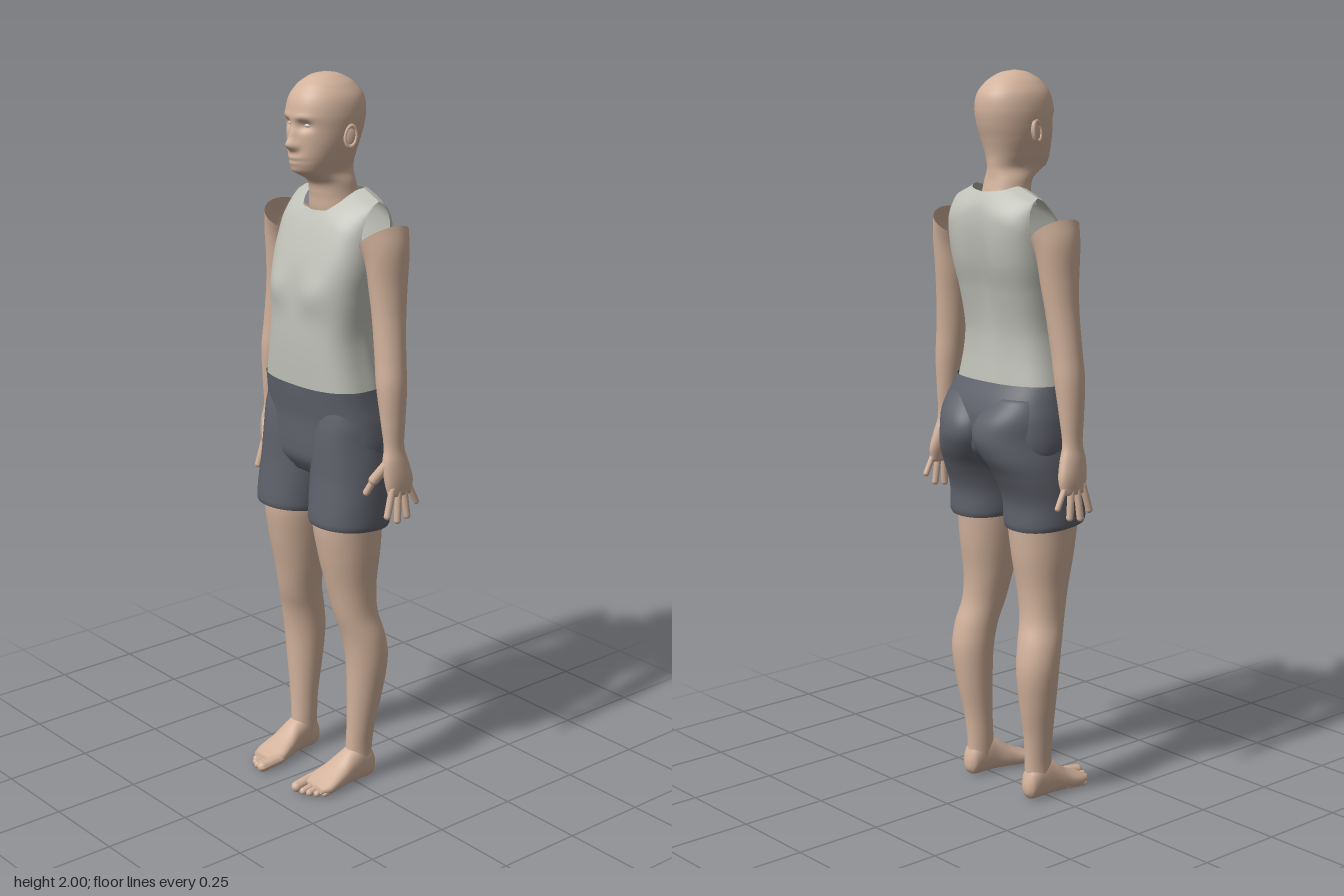
import * as THREE from 'three';

const { abs, sign, sin, cos, sqrt, min, max, PI, exp } = Math;
const skin = new THREE.MeshStandardMaterial({ name: 'skin', color: 0xd2b29c, side: THREE.DoubleSide });
const shirtGrey = new THREE.MeshStandardMaterial({ name: 'shirt grey', color: 0xc0c2b9, side: THREE.DoubleSide });
const shortsGrey = new THREE.MeshStandardMaterial({ name: 'shorts slate', color: 0x5f626b, side: THREE.DoubleSide });
const eyeWhite = new THREE.MeshStandardMaterial({ name: 'eye white', color: 0xd8d2cc });

const bump = (d, width) => exp(-(d * d) / (2 * width * width));
const lerpTable = (table, a) => {
  let i = 1;
  while (i < table.length - 1 && a > table[i][0]) i++;
  const [a0, v0] = table[i - 1], [a1, v1] = table[i];
  return v0 + (v1 - v0) * min(1, max(0, (a - a0) / (a1 - a0)));
};

// Smoothly interpolated section; rows are [height, xMin, xMax, zMin, zMax, squareness]
function section(rows, y) {
  let i = 0;
  while (i < rows.length - 2 && y > rows[i + 1][0]) i++;
  const a = rows[i], b = rows[i + 1], p = rows[max(0, i - 1)], q = rows[min(rows.length - 1, i + 2)];
  const h = b[0] - a[0], t = min(1, max(0, (y - a[0]) / h));
  return a.map((v, k) => {
    const m0 = (b[k] - p[k]) / (b[0] - p[0]) * h, m1 = (q[k] - v) / (q[0] - a[0]) * h;
    return (2 * t ** 3 - 3 * t * t + 1) * v + (t ** 3 - 2 * t * t + t) * m0
      + (3 * t * t - 2 * t ** 3) * b[k] + (t ** 3 - t * t) * m1;
  });
}

// Skin a surface over the sections, with optional vertex rule, top edge and caps
function loft(rows, { seg = 40, steps = 50, warp, top, ease = v => v, capBottom, capTop, lying } = {}) {
  const pos = [], index = [], y0 = rows[0][0], y1 = rows[rows.length - 1][0];
  for (let i = 0; i <= steps; i++) for (let j = 0; j < seg; j++) {
    const th = j / seg * 2 * PI, c = cos(th), s = sin(th);
    const y = y0 + ((top ? top(th) : y1) - y0) * ease(i / steps);
    const [, xa, xb, za, zb, n] = section(rows, y);
    const p = new THREE.Vector3(
      (xa + xb) / 2 + (xb - xa) / 2 * sign(c) * abs(c) ** (2 / n), y,
      (za + zb) / 2 + (zb - za) / 2 * sign(s) * abs(s) ** (2 / n));
    if (warp) warp(p, th);
    pos.push(...(lying ? [p.x, p.z, p.y] : [p.x, p.y, p.z]));
  }
  for (let i = 0; i < steps; i++) for (let j = 0; j < seg; j++) {
    const a = i * seg + j, b = i * seg + (j + 1) % seg;
    index.push(a, a + seg, b, b, a + seg, b + seg);
  }
  const cap = (start, up) => {
    const centre = [0, 1, 2].map(k => {
      let sum = 0;
      for (let j = 0; j < seg; j++) sum += pos[(start + j) * 3 + k];
      return sum / seg;
    });
    const c = pos.push(...centre) / 3 - 1;
    for (let j = 0; j < seg; j++) {
      const a = start + j, b = start + (j + 1) % seg;
      index.push(c, up ? b : a, up ? a : b);
    }
  };
  if (capBottom) cap(0, false);
  if (capTop) cap(steps * seg, true);
  if (lying) index.reverse();
  const g = new THREE.BufferGeometry();
  g.setAttribute('position', new THREE.Float32BufferAttribute(pos, 3));
  g.setIndex(index);
  g.computeVertexNormals();
  return g;
}

// Rounded digit between two points
function digit(a, b, r) {
  const p = new THREE.Vector3(...a), q = new THREE.Vector3(...b), d = q.clone().sub(p);
  const g = new THREE.CapsuleGeometry(r, d.length(), 5, 12);
  g.applyQuaternion(new THREE.Quaternion().setFromUnitVectors(new THREE.Vector3(0, 1, 0), d.normalize()));
  return g.translate(...p.add(q).multiplyScalar(0.5).toArray());
}

function mirrored(geometry) {
  const g = geometry.clone().scale(-1, 1, 1);
  g.setIndex(Array.from(g.index.array).reverse());
  g.computeVertexNormals();
  return g;
}

export function createModel() {
  const model = new THREE.Group();
  model.name = 'standing figure';
  const add = (name, geometry, material) => {
    const m = new THREE.Mesh(geometry, material);
    m.name = name;
    model.add(m);
  };
  const pair = (name, geometry, material) => {
    add('left ' + name, geometry, material);
    add('right ' + name, mirrored(geometry), material);
  };

  // Head and neck, with the face raised and sunk by soft bumps
  const headRows = [
    [1.6, 0.075, -0.105, 0.02], [1.64, 0.073, -0.105, 0.03], [1.68, 0.065, -0.095, 0.034],
    [1.715, 0.061, -0.087, 0.044], [1.738, 0.056, -0.085, 0.08], [1.75, 0.057, -0.085, 0.098],
    [1.78, 0.07, -0.087, 0.105], [1.82, 0.083, -0.097, 0.106], [1.86, 0.09, -0.109, 0.107],
    [1.9, 0.092, -0.115, 0.109], [1.94, 0.084, -0.108, 0.099], [1.97, 0.064, -0.083, 0.076],
    [1.985, 0.046, -0.06, 0.054], [1.995, 0.027, -0.035, 0.031], [2, 0.001, -0.003, 0],
  ].map(([y, r, zb, zf]) => [y, -r, r, zb, zf, 2.1]);
  const face = p => {
    if (p.z < 0.03) return;
    const x = abs(p.x), y = p.y;
    p.z += 0.02 * bump(x, 0.011) * bump(y - 1.82, 0.011)
      + 0.012 * bump(x, 0.009) * bump(y - 1.845, 0.018)
      + 0.006 * bump(x - 0.014, 0.006) * bump(y - 1.816, 0.007)
      - 0.013 * bump(x - 0.034, 0.014) * bump(y - 1.871, 0.01)
      + 0.004 * bump(x - 0.03, 0.02) * bump(y - 1.893, 0.007)
      + 0.011 * bump(x, 0.018) * bump(y - 1.78, 0.011)
      - 0.006 * bump(x, 0.02) * bump(y - 1.779, 0.003)
      + 0.007 * bump(x, 0.016) * bump(y - 1.75, 0.009);
  };
  add('head', loft(headRows, { seg: 96, steps: 120, warp: face, ease: v => sin(v * PI / 2) }), skin);
  pair('eye', new THREE.SphereGeometry(0.0125, 20, 14).scale(1, 0.55, 0.9).translate(0.033, 1.872, 0.0815), eyeWhite);
  const placeEar = g => g.rotateY(-0.25).rotateX(-0.15).translate(0.092, 1.842, -0.008);
  pair('ear', placeEar(new THREE.SphereGeometry(1, 18, 14).scale(0.008, 0.03, 0.018)), skin);
  pair('ear rim', placeEar(new THREE.TorusGeometry(0.018, 0.004, 8, 24).scale(0.9, 1.5, 1).rotateY(PI / 2).translate(0.006, 0, 0)), skin);

  // Sleeveless shirt: the top edge dips for arms and neck, straps close over the shoulders
  const shirtRows = [
    [1.16, 0.182, -0.105, 0.112], [1.25, 0.162, -0.097, 0.115], [1.32, 0.153, -0.099, 0.115],
    [1.42, 0.158, -0.118, 0.11], [1.5, 0.166, -0.138, 0.098], [1.58, 0.168, -0.146, 0.07],
    [1.64, 0.168, -0.14, 0.04], [1.7, 0.168, -0.118, 0], [1.74, 0.168, -0.1, -0.02],
  ].map(([y, r, zb, zf]) => [y, -r, r, zb, zf, 2.8]);
  const sideEdge = [[0, 1.52], [12, 1.545], [20, 1.59], [26, 1.665], [28, 1.75], [64, 1.75]];
  const frontEdge = [...sideEdge, [67, 1.7], [73, 1.665], [80, 1.645], [90, 1.64]];
  const backEdge = [...sideEdge, [67, 1.703], [74, 1.692], [90, 1.685]];
  const shoulderY = x => 1.735 - 0.4 * abs(x);
  add('shirt', loft(shirtRows, {
    seg: 180, steps: 60,
    top: th => {
      const angle = Math.atan2(abs(sin(th)), abs(cos(th))) * 180 / PI;
      const x = 0.168 * abs(cos(th)) ** (2 / 2.8);
      return min(shoulderY(x), lerpTable(sin(th) >= 0 ? frontEdge : backEdge, angle));
    },
    warp: (p, th) => {
      const [, , , za, zb] = section(shirtRows, p.y), mid = (za + zb) / 2;
      const d = min(1, max(0, (shoulderY(p.x) - p.y) / 0.09));
      p.z = mid + (p.z - mid) * sqrt(1 - (1 - d) ** 2);
      if (sin(th) > 0) p.z += 0.012 * bump(abs(p.x) - 0.075, 0.035) * bump(p.y - 1.43, 0.035);
      else p.z += 0.016 * bump(p.x, 0.03) * bump(p.y - 1.47, 0.13) * -sin(th);
    },
  }), shirtGrey);

  // Shorts: hips plus two legs whose backs swell into the seat
  const hipRows = [
    [0.92, 0.13, -0.08, 0.075], [0.96, 0.185, -0.12, 0.1], [1.0, 0.205, -0.148, 0.105],
    [1.08, 0.203, -0.152, 0.107], [1.13, 0.194, -0.138, 0.113], [1.175, 0.187, -0.113, 0.118],
  ].map(([y, r, zb, zf]) => [y, -r, r, zb, zf, 2.5]);
  add('shorts hips', loft(hipRows, { seg: 64, steps: 30, capBottom: true }), shortsGrey);
  pair('shorts leg', loft([
    [0.785, 0.014, 0.213, -0.1, 0.117, 2.2], [0.795, 0.01, 0.217, -0.104, 0.12, 2.2],
    [0.86, 0.006, 0.216, -0.107, 0.115, 2.2], [0.93, 0.002, 0.213, -0.138, 0.109, 2.2],
    [0.98, 0, 0.211, -0.167, 0.107, 2.2], [1.03, 0, 0.207, -0.183, 0.105, 2.2],
    [1.08, 0, 0.203, -0.172, 0.1, 2.2], [1.14, 0.01, 0.186, -0.125, 0.09, 2.2],
  ], {
    seg: 56, steps: 44, capTop: true,
    warp: p => {
      if (p.z < 0) p.x = max(0, p.x + 0.22 * p.z * bump(p.y - 1.04, 0.06));
      p.y += p.z * 0.08 * bump(p.y - 0.785, 0.05);
    },
  }), shortsGrey);

  // Legs
  pair('leg', loft([
    [0.04, 0.093, 0.156, -0.064, 0.022, 2], [0.1, 0.091, 0.156, -0.064, 0.018, 2],
    [0.18, 0.09, 0.166, -0.07, 0.016, 2], [0.28, 0.085, 0.183, -0.088, 0.018, 2],
    [0.38, 0.079, 0.196, -0.099, 0.023, 2], [0.45, 0.073, 0.194, -0.09, 0.034, 2],
    [0.52, 0.063, 0.181, -0.072, 0.054, 2.1], [0.6, 0.047, 0.18, -0.072, 0.072, 2.1],
    [0.7, 0.03, 0.189, -0.085, 0.094, 2.1], [0.79, 0.018, 0.194, -0.093, 0.107, 2.1],
    [0.88, 0.015, 0.2, -0.1, 0.1, 2.1],
  ], { steps: 64 }), skin);

  // Feet, lofted from heel to ball, and toes
  pair('foot', loft([
    [-0.072, 0.115, 0.138, 0.02, 0.05, 2.2], [-0.06, 0.099, 0.152, 0.003, 0.085, 2.2],
    [-0.02, 0.092, 0.157, 0, 0.115, 2.2], [0.02, 0.086, 0.16, 0, 0.1, 2.2],
    [0.06, 0.074, 0.164, 0, 0.07, 2.3], [0.11, 0.062, 0.167, 0, 0.042, 2.4],
    [0.14, 0.066, 0.154, 0.004, 0.03, 2.4],
  ], { lying: true, capBottom: true, capTop: true }), skin);
  [[0.078, 0.168, 0.0155], [0.104, 0.165, 0.0105], [0.122, 0.157, 0.01], [0.139, 0.144, 0.0095], [0.153, 0.126, 0.009]]
    .forEach(([x, z, r], i) => pair('toe ' + (i + 1), digit([x - 0.002, r + 0.007, z - 0.06], [x, r, z], r), skin));

  // Arms with an open slanted top, running down into the palm
  pair('arm', loft([
    [0.9, 0.259, 0.286, -0.073, 0.004, 2.4], [0.94, 0.248, 0.289, -0.08, 0.012, 2.3],
    [0.99, 0.238, 0.286, -0.068, 0.014, 2.1], [1.03, 0.236, 0.281, -0.056, 0.006, 2],
    [1.1, 0.225, 0.283, -0.06, 0.011, 2], [1.2, 0.207, 0.285, -0.068, 0.018, 2],
    [1.27, 0.196, 0.279, -0.07, 0.015, 2], [1.38, 0.182, 0.267, -0.08, 0.015, 2],
    [1.45, 0.173, 0.262, -0.09, 0.02, 2], [1.53, 0.166, 0.258, -0.102, 0.03, 2],
    [1.59, 0.156, 0.241, -0.113, 0.042, 2],
  ], {
    steps: 64, capBottom: true,
    warp: p => { p.y += max(0, (p.y - 1.4) / 0.19) * (p.x - 0.2) * 0.85; },
  }), skin);

  // Fingers and thumb
  [[[0.277, 0.92, -0.004], [0.281, 0.85, 0.016]], [[0.278, 0.91, -0.025], [0.283, 0.832, -0.018]],
    [[0.277, 0.91, -0.046], [0.281, 0.838, -0.054]], [[0.274, 0.92, -0.066], [0.275, 0.868, -0.092]]]
    .forEach(([a, b], i) => pair('finger ' + (i + 1), digit(a, b, 0.0098 - (i === 3) * 0.0015), skin));
  pair('thumb base', digit([0.258, 0.985, 0.002], [0.232, 0.942, 0.022], 0.0145), skin);
  pair('thumb', digit([0.232, 0.942, 0.022], [0.216, 0.905, 0.034], 0.0098), skin);

  return model;
}
